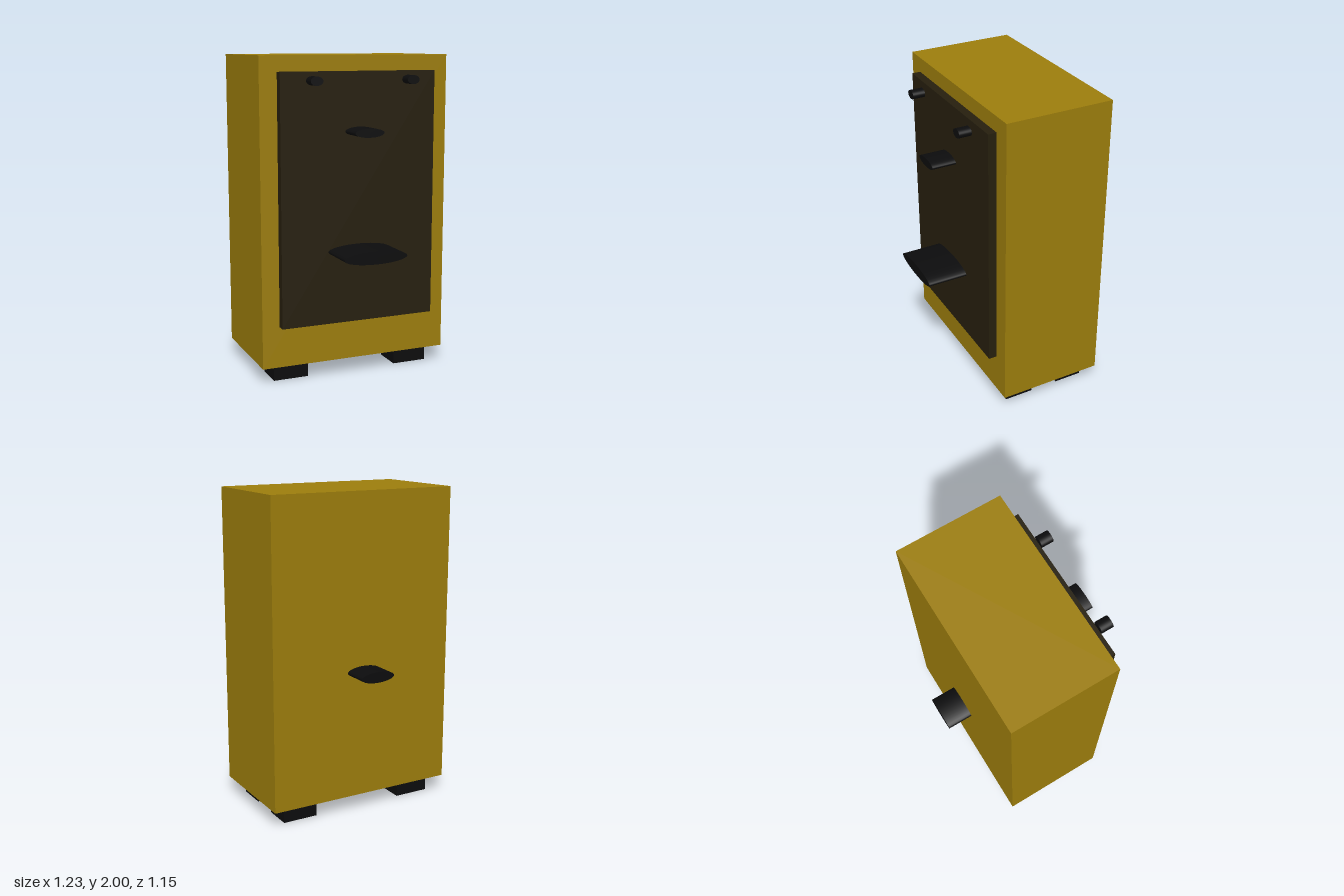
import * as THREE from 'three';

const mat = (color) => new THREE.MeshStandardMaterial({ color });

export function createModel() {
  const model = new THREE.Group();
  const yellow = mat(0x9c7d0c), brown = mat(0x261f0e), black = mat(0x0c0c0d);

  // Box given by its min and max on each axis
  function box(name, material, [x0, x1], [y0, y1], [z0, z1]) {
    const mesh = new THREE.Mesh(new THREE.BoxGeometry(x1 - x0, y1 - y0, z1 - z0), material);
    mesh.position.set((x0 + x1) / 2, (y0 + y1) / 2, (z0 + z1) / 2);
    mesh.name = name;
    model.add(mesh);
  }

  // Elliptical bar running along z
  function knob(name, x, y, rx, ry, z0, z1) {
    const geometry = new THREE.CylinderGeometry(1, 1, z1 - z0, 32);
    geometry.rotateX(Math.PI / 2);
    geometry.scale(rx, ry, 1);
    const mesh = new THREE.Mesh(geometry, black);
    mesh.position.set(x, y, (z0 + z1) / 2);
    mesh.name = name;
    model.add(mesh);
  }

  // Cabinet and raised front panel
  box('cabinet', yellow, [-0.615, 0.615], [0.105, 2], [-0.41, 0.267]);
  box('frontPanel', brown, [-0.505, 0.505], [0.362, 1.905], [0.26, 0.32]);

  // Knobs on the front and back
  knob('lowerKnob', 0, 0.815, 0.205, 0.039, 0.3, 0.573);
  knob('middleKnob', 0, 1.547, 0.094, 0.027, 0.3, 0.473);
  knob('backKnob', 0, 0.908, 0.113, 0.033, -0.573, -0.4);

  // Small top knobs and the four feet, mirrored left and right
  for (const side of [-1, 1]) {
    const label = side > 0 ? 'left' : 'right';
    knob(label + 'TopKnob', side * 0.312, 1.853, 0.039, 0.027, 0.34, 0.418);
    const xs = side > 0 ? [0.3, 0.526] : [-0.526, -0.3];
    box(label + 'FrontFoot', black, xs, [0, 0.08], [0.02, 0.208]);
    box(label + 'BackFoot', black, xs, [0, 0.08], [-0.35, -0.165]);
  }
  return model;
}
